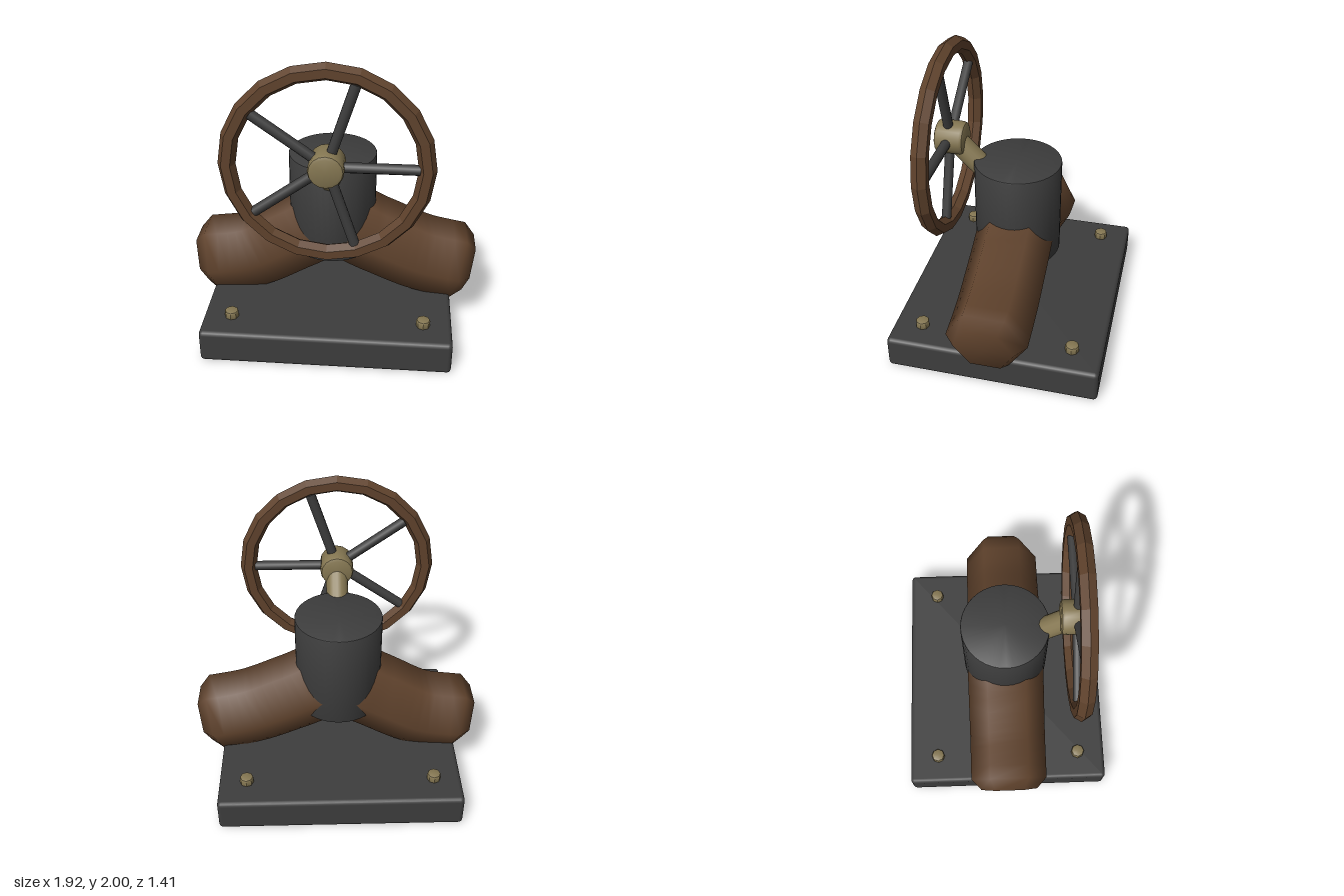
import * as THREE from 'three';
import { toCreasedNormals } from 'three/addons/utils/BufferGeometryUtils.js';
import { RoundedBoxGeometry } from 'three/addons/geometries/RoundedBoxGeometry.js';

const CX = -0.022; // shared centre line of base, column and wheel

function makeMaterial(name, color) {
  const m = new THREE.MeshStandardMaterial({ color });
  m.name = name;
  return m;
}

// Upright cylinder with bevelled rims, centred on its own middle
function bevelledCylinder(r, h, bevel, sides) {
  const b = bevel * 0.3;
  const half = [[r, h / 2 - bevel], [r - b, h / 2 - b], [r - bevel, h / 2], [0, h / 2]];
  const pts = [...half.map(([x, y]) => [x, -y]).reverse(), ...half];
  const geo = new THREE.LatheGeometry(pts.map(([x, y]) => new THREE.Vector2(x, y)), sides);
  return toCreasedNormals(geo, 0.75);
}

// Six-sided bent pipe in the XY plane with chamfered, closed ends
function bentPipe(points, radius) {
  const curve = new THREE.CatmullRomCurve3(points.map(([x, y]) => new THREE.Vector3(x, y, 0)));
  const sides = 6, steps = 24, pos = [], index = [];
  const chamfer = 0.075 / curve.getLength();
  const rings = [[0, 0.001], [0, 0.74], [chamfer, 1]];
  for (let i = 1; i < steps; i++) rings.push([chamfer + (1 - 2 * chamfer) * i / steps, 1]);
  rings.push([1 - chamfer, 1], [1, 0.74], [1, 0.001]);
  rings.forEach(([u, scale], i) => {
    const c = curve.getPointAt(u), t = curve.getTangentAt(u);
    for (let j = 0; j < sides; j++) {
      const a = j / sides * Math.PI * 2;
      const n = Math.sin(a) * radius * scale, z = Math.cos(a) * radius * scale;
      pos.push(c.x - t.y * n, c.y + t.x * n, z);
      if (i < rings.length - 1) {
        const p = i * sides + j, q = i * sides + (j + 1) % sides;
        index.push(p, p + sides, q, q, p + sides, q + sides);
      }
    }
  });
  const geo = new THREE.BufferGeometry();
  geo.setAttribute('position', new THREE.Float32BufferAttribute(pos, 3));
  geo.setIndex(index);
  geo.computeVertexNormals();
  return geo;
}

export function createModel() {
  const model = new THREE.Group();
  model.name = 'valve';
  const iron = makeMaterial('darkIron', 0x3d3d3d);
  const rust = makeMaterial('rustBrown', 0x5f422c);
  rust.name = 'rustBrown';
  const rim = makeMaterial('rimBrown', 0x5f422c);
  rim.flatShading = true;
  const brass = makeMaterial('dullBrass', 0x857752);

  const add = (name, geo, mat, x, y, z, parent = model) => {
    const mesh = new THREE.Mesh(geo, mat);
    mesh.name = name;
    mesh.position.set(x, y, z);
    parent.add(mesh);
    return mesh;
  };

  // Base plate and its four bolts
  add('basePlate', new RoundedBoxGeometry(1.635, 0.228, 1.41, 2, 0.028), iron, CX, 0.114, -0.004);
  const boltGeo = bevelledCylinder(0.046, 0.06, 0.012, 8);
  for (const sx of [-1, 1]) for (const sz of [-1, 1]) {
    add('bolt', boltGeo, brass, CX + sx * 0.63, 0.25, sz * 0.507);
  }

  // Bent pipe running through the column
  add('pipe', bentPipe([
    [-0.93, 0.375], [-0.86, 0.39], [-0.57, 0.44], [-0.27, 0.6], [-0.015, 0.72],
    [0.27, 0.605], [0.58, 0.475], [0.85, 0.418], [0.915, 0.404],
  ], 0.265), rust, 0, 0, 0);

  // Upright column
  add('column', bevelledCylinder(0.289, 0.675, 0.008, 40), iron, CX, 0.8865, 0);

  // Slanted stem from column to hub
  const stem = add('stem', new THREE.CylinderGeometry(0.075, 0.075, 0.42, 16), brass, CX, 1.195, 0.295);
  stem.rotation.x = Math.PI / 4;

  // Hand wheel: rim, five spokes and hub
  const wheel = new THREE.Group();
  wheel.name = 'handWheel';
  wheel.position.set(CX, 1.34, 0.457);
  model.add(wheel);
  add('rim', new THREE.TorusGeometry(0.605, 0.055, 6, 20), rim, 0, 0, 0, wheel);
  const spokeGeo = new THREE.CylinderGeometry(0.033, 0.033, 0.56, 10).translate(0, 0.28, 0);
  for (let i = 0; i < 5; i++) {
    const spoke = add('spoke', spokeGeo, iron, 0, 0, 0, wheel);
    spoke.rotation.z = i * Math.PI * 0.4 - Math.PI / 2;
  }
  const hub = add('hub', bevelledCylinder(0.112, 0.198, 0.026, 16), brass, 0, 0, -0.012, wheel);
  hub.rotation.x = Math.PI / 2;

  return model;
}
